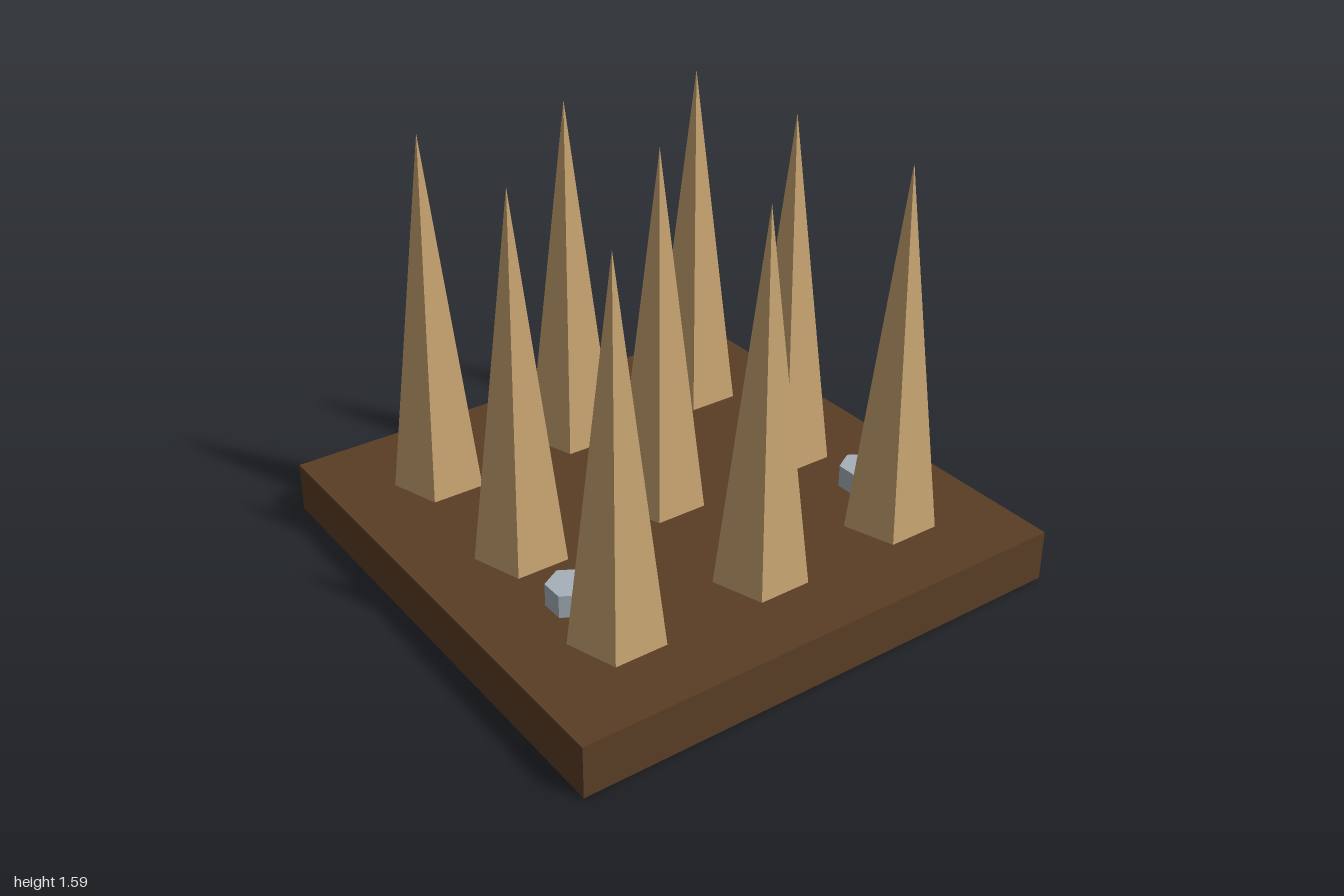
import * as THREE from 'three';

export function createModel() {
  const model = new THREE.Group();
  model.name = 'spikeTrap';

  const material = (name, color) => {
    const m = new THREE.MeshStandardMaterial({ color, flatShading: true });
    m.name = name;
    return m;
  };
  const darkWood = material('dark wood', 0x5a3d25);
  const paleWood = material('pale wood', 0xc8a472);
  const steel = material('steel', 0xa6b0ba);

  const add = (name, geometry, mat, x, y, z) => {
    const mesh = new THREE.Mesh(geometry, mat);
    mesh.name = name;
    mesh.position.set(x, y, z);
    model.add(mesh);
    return mesh;
  };

  // Square base slab
  add('base', new THREE.BoxGeometry(2, 0.2, 2), darkWood, 0, 0.1, 0);

  // Three by three grid of five-sided spikes, one corner pointing back
  const height = 1.39;
  const spike = new THREE.ConeGeometry(0.174, height, 5).rotateY(Math.PI);
  for (const x of [-0.6, 0, 0.6]) {
    for (const z of [-0.6, 0, 0.6]) {
      add('spike', spike, paleWood, x, 0.2 + height / 2, z);
    }
  }

  // Hexagonal bolts behind the front corner spikes
  const bolt = new THREE.CylinderGeometry(0.087, 0.087, 0.087, 6);
  add('leftBolt', bolt, steel, 0.65, 0.267, 0.396);
  add('rightBolt', bolt, steel, -0.65, 0.267, 0.396);

  return model;
}
